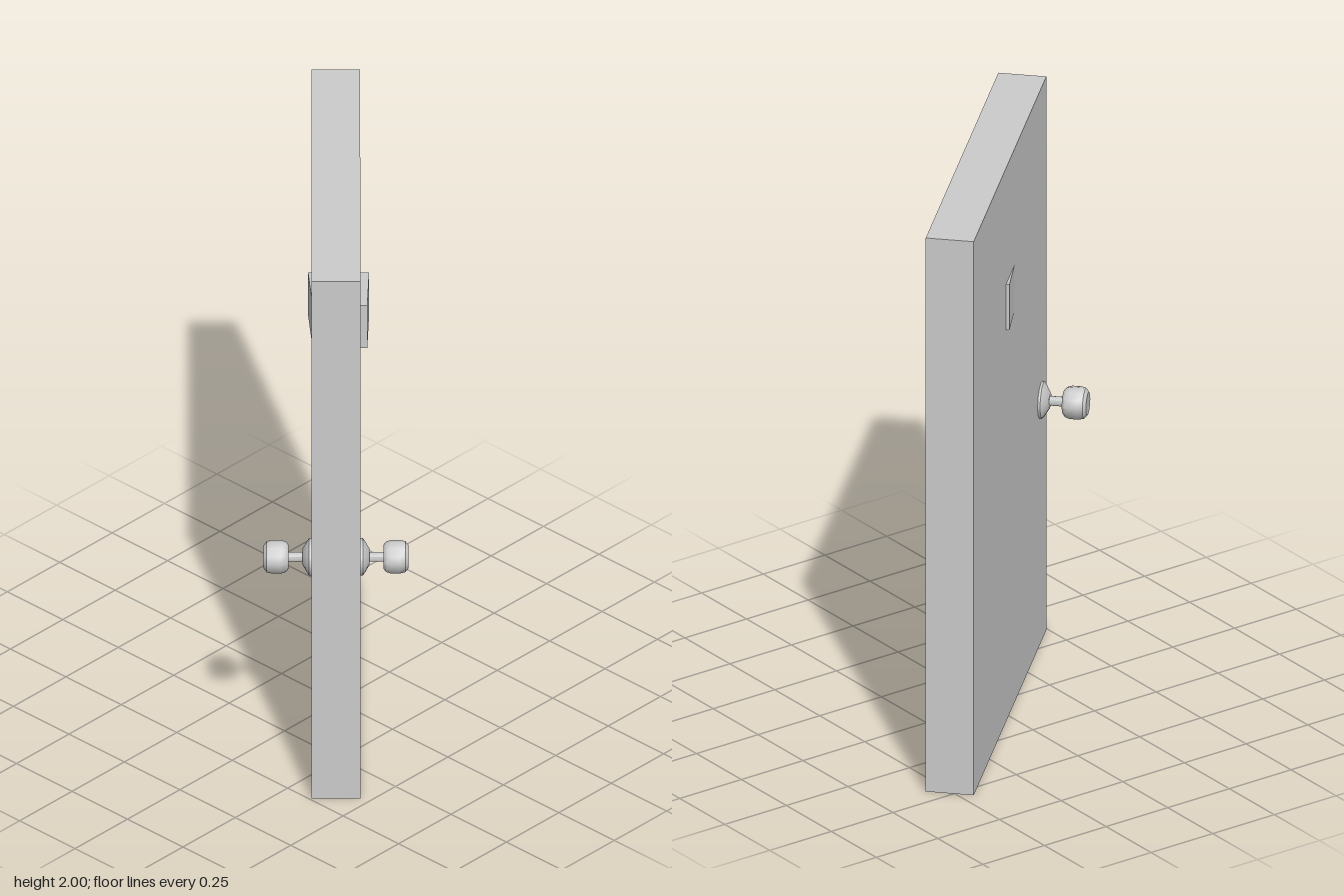
import * as THREE from 'three';
import { toCreasedNormals } from 'three/addons/utils/BufferGeometryUtils.js';

export function createModel() {
  const model = new THREE.Group();
  model.name = 'openDoor';
  const material = new THREE.MeshStandardMaterial({ color: 0xcccccc });

  // Everything is built in the door's own axes, then swung open
  const door = new THREE.Group();
  door.name = 'door';
  door.position.set(-0.04, 0, -0.037);
  door.rotation.y = -0.813;
  model.add(door);

  const add = (name, geometry, parent = door) => {
    const mesh = new THREE.Mesh(geometry, material);
    mesh.name = name;
    parent.add(mesh);
    return mesh;
  };

  // Door slab
  add('doorSlab', new THREE.BoxGeometry(1.308, 2, 0.16).translate(0, 1, 0));

  // Slightly skewed plate running through the slab, showing on both faces
  const plan = new THREE.Shape([
    [-0.071, 0.109], [-0.07, -0.091], [0.134, -0.076], [0.132, 0.103],
  ].map(([x, y]) => new THREE.Vector2(x, y)));
  const plate = new THREE.ExtrudeGeometry(plan, { depth: 0.165, bevelEnabled: false });
  plate.rotateX(-Math.PI / 2).translate(0, 1.415, 0);
  add('windowPlate', plate);

  // Turned parts: [radius, distance from the slab face]
  const turned = (points) => toCreasedNormals(
    new THREE.LatheGeometry(points.map(([r, d]) => new THREE.Vector2(r, d)), 12)
      .rotateX(Math.PI / 2), 0.6);
  const rosette = turned([[0, -0.01], [0.062, -0.01], [0.062, 0.008], [0.052, 0.015], [0.026, 0.03], [0, 0.03]]);
  const stem = turned([[0.016, 0.02], [0.016, 0.085]]);
  const knob = turned([
    [0, 0.076], [0.04, 0.076], [0.05, 0.084], [0.055, 0.1],
    [0.055, 0.13], [0.051, 0.147], [0.039, 0.157], [0, 0.157],
  ]);

  // A handle on each face
  for (const side of [1, -1]) {
    const handle = new THREE.Group();
    handle.name = side > 0 ? 'frontHandle' : 'backHandle';
    handle.position.set(0.558, 0.875, side * 0.08);
    handle.rotation.y = side > 0 ? 0 : Math.PI;
    add('rosette', rosette, handle);
    add('stem', stem, handle);
    add('knob', knob, handle);
    door.add(handle);
  }

  return model;
}
